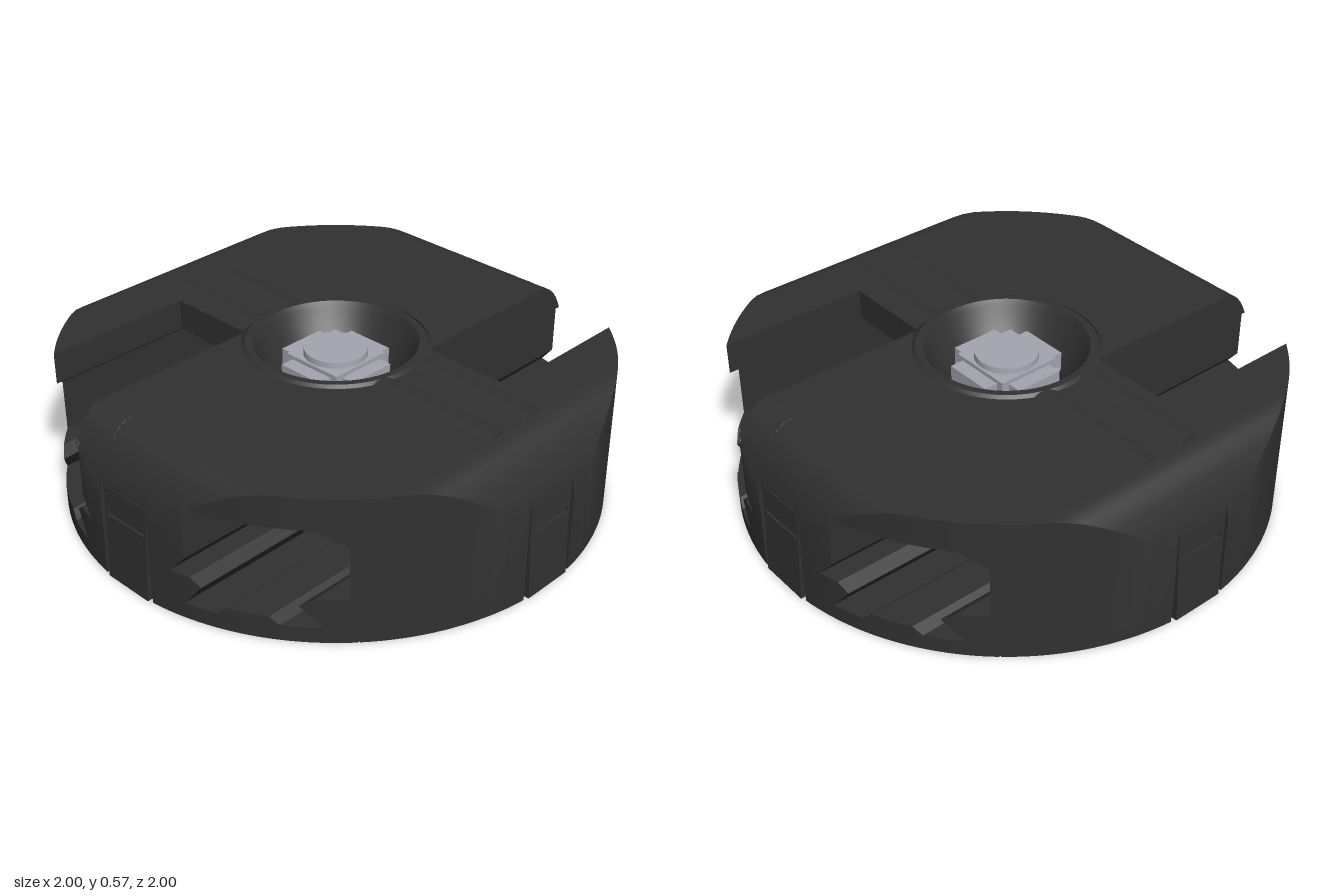
import * as THREE from 'three';
import { toCreasedNormals } from 'three/addons/utils/BufferGeometryUtils.js';

const dark = new THREE.MeshStandardMaterial({ color: 0x313131, side: THREE.DoubleSide });
const pale = new THREE.MeshStandardMaterial({ color: 0xa4a4b0 });

const TOP = 0.558, DISH = 0.34, RECESS = 0.74, HOLE = 0.17;
const circ = (r, x) => Math.sqrt(Math.max(0, r * r - x * x));
// outer wall, flattened where the clip tabs sit
const edge = x => (x <= 0.1201 ? 0.98 : circ(1, x));
// rounded shoulder, and the crown made by crossing two of them
const shoulder = t => {
  const u = Math.min(1, Math.max(0, (Math.abs(t) - 0.84) / 0.16));
  return 0.2 + (TOP - 0.2) * Math.sqrt(1 - u * u);
};
const crown = (x, z) => Math.min(shoulder(x), shoulder(z));

// piecewise linear height from [x, y] points
const along = pts => x => {
  for (let i = 1; i < pts.length; i++) {
    const [a, ya] = pts[i - 1], [b, yb] = pts[i];
    if (x <= b + 1e-9) return ya + (yb - ya) * (x - a) / (b - a);
  }
  return pts[pts.length - 1][1];
};
const steps = (marks, size = 0.025) => {
  const xs = [marks[0]];
  for (let i = 1; i < marks.length; i++) {
    const n = Math.max(1, Math.ceil((marks[i] - marks[i - 1]) / size));
    for (let k = 1; k <= n; k++) xs.push(marks[i - 1] + (marks[i] - marks[i - 1]) * k / n);
  }
  return xs;
};

// solid lofted over x stations, between low(x) and high(x, z), z0(x) and z1(x)
function slab(name, xs, low, high, z0, z1, n = 1) {
  const pos = [], m = xs.length - 1;
  const P = (i, j, up) => {
    const x = xs[i], t = n > 1 ? (1 - Math.cos(Math.PI * j / n)) / 2 : j;
    const a = z0(x), z = a + (Math.max(a, z1(x)) - a) * t;
    const y = low(x);
    return new THREE.Vector3(x, up ? Math.max(y, high(x, z)) : y, z);
  };
  const tri = (a, b, c) => {
    const area = b.clone().sub(a).cross(c.clone().sub(a)).length();
    if (area > 1e-9) for (const p of [a, b, c]) pos.push(p.x, p.y, p.z);
  };
  const quad = (a, b, c, d) => { tri(a, b, c); tri(a, c, d); };
  for (let i = 0; i < m; i++) {
    for (let j = 0; j < n; j++) {
      quad(P(i, j, 1), P(i, j + 1, 1), P(i + 1, j + 1, 1), P(i + 1, j, 1));
      quad(P(i, j, 0), P(i + 1, j, 0), P(i + 1, j + 1, 0), P(i, j + 1, 0));
    }
    quad(P(i, n, 0), P(i + 1, n, 0), P(i + 1, n, 1), P(i, n, 1));
    quad(P(i, 0, 0), P(i, 0, 1), P(i + 1, 0, 1), P(i + 1, 0, 0));
  }
  for (let j = 0; j < n; j++) {
    quad(P(m, j, 0), P(m, j, 1), P(m, j + 1, 1), P(m, j + 1, 0));
    quad(P(0, j, 0), P(0, j + 1, 0), P(0, j + 1, 1), P(0, j, 1));
  }
  const g = new THREE.BufferGeometry();
  g.setAttribute('position', new THREE.Float32BufferAttribute(pos, 3));
  return mesh(name, toCreasedNormals(g, 0.5), dark);
}

function mesh(name, geo, mat, x = 0, y = 0, z = 0) {
  const m = new THREE.Mesh(geo, mat);
  m.name = name;
  m.position.set(x, y, z);
  return m;
}

function buildHalf() {
  const half = new THREE.Group();
  const add = (...a) => half.add(slab(...a));
  const flat = y => () => y;
  const back = x => -edge(x);

  // side wall, with the clip recess at its outermost point
  const outer = [...steps([0.752, 0.96]), 0.97, 0.98];
  add('sideWall', outer, flat(0), crown, back, edge, 40);
  add('sideWallInner', [0.73, 0.74, 0.752], flat(0.175), crown, back, edge, 40);
  const tip = [0.98, 0.984, 0.988, 0.9928];
  add('sideWallLip', tip, flat(0), crown, flat(0.12), x => circ(1, x));
  add('sideWallLip', tip, flat(0), crown, x => -circ(1, x), flat(-0.12));

  // roof over the tunnel, open on one side as a long slot
  add('roofShoulder', steps([0.64, 0.73]), along([[0.64, 0.44], [0.655, 0.44], [0.73, 0.375]]), crown, back, edge, 40);
  add('roof', steps([DISH, 0.64]), flat(0.44), crown, flat(-0.185), edge, 40);
  add('roof', steps([0.28, DISH], 0.01), flat(0.44), crown, x => circ(DISH, x), edge, 32);
  add('roof', steps([0.285, DISH], 0.01), flat(0.44), crown, flat(-0.185), x => -circ(DISH, x));

  // central block around the dish
  const blockX = [...steps([0, 0.12]), ...steps([0.121, 0.205, 0.26]), 0.2605, 0.28];
  const blockLow = along([[0, 0.175], [0.205, 0.175], [0.26, 0.24], [0.2605, 0.44], [0.28, 0.44]]);
  add('centreBlock', blockX, blockLow, crown, x => circ(DISH, x), edge, 32);
  add('centreBlock', blockX, blockLow, crown, back, x => -circ(DISH, x), 32);

  // base: outer ring and recessed, ribbed inside
  const floor = along([[0.255, 0.06], [0.37, 0.06], [0.4, 0.09], [0.53, 0.09], [0.56, 0.06], [0.675, 0.06]]);
  const rib = along([[0.255, 0.03], [0.37, 0.03], [0.4, 0.06], [0.53, 0.06], [0.56, 0.03], [0.675, 0.03]]);
  const rim = x => circ(RECESS, x);
  const sections = [
    [[...steps([0, 0.12]), ...steps([0.121, 0.17, 0.205, 0.255])], flat(0.175),
      along([[0, 0.12], [0.19, 0.12], [0.255, 0.03]])],
    [steps([0.255, 0.37, 0.4, 0.53, 0.56, 0.675]), floor, rib],
    [steps([0.675, 0.74, 0.748], 0.01), flat(0.175), along([[0.675, 0.03], [0.72, 0.11], [0.748, 0.11]])],
  ];
  for (const [xs, high, low] of sections) {
    add('baseRing', xs, flat(0), high, rim, edge);
    add('baseRing', xs, flat(0), high, back, x => -rim(x));
    add('basePlate', xs, low, high, x => circ(HOLE, x), rim);
    add('basePlate', xs, low, high, x => -rim(x), x => -circ(HOLE, x));
  }

  // undercut rails along both sides of the tunnel
  add('innerRail', steps([0.255, 0.28, 0.32]), along([[0.255, 0.06], [0.32, 0.145]]),
    along([[0.255, 0.175], [0.28, 0.175], [0.32, 0.145]]), back, edge);
  add('outerRail', steps([0.61, 0.65, 0.675]), along([[0.61, 0.145], [0.675, 0.06]]),
    along([[0.61, 0.145], [0.65, 0.175], [0.675, 0.175]]), back, edge);

  // pair of raised strips with sloped sides, running out from the dish
  for (const s of [-1, 1]) {
    const z = s * 0.095;
    const ridge = (x, v) => (Math.abs(v - z) > 0.03 ? TOP : 0.566);
    add('topStrip', [0.31, 0.82], flat(0.55), ridge, flat(z - 0.041), flat(z + 0.041), 3);
  }
  return half;
}

// clip tab with a narrow slit, leaning back towards its top
function buildTab() {
  const rect = (S, a, b, c, d) => {
    const s = new S();
    s.moveTo(a, b); s.lineTo(c, b); s.lineTo(c, d); s.lineTo(a, d); s.closePath();
    return s;
  };
  const shape = rect(THREE.Shape, -0.102, 0, 0.102, 0.36);
  shape.holes.push(rect(THREE.Path, -0.095, 0.252, 0.095, 0.274));
  const geo = new THREE.ExtrudeGeometry(shape, { depth: 1, bevelEnabled: false });
  const p = geo.attributes.position;
  for (let i = 0; i < p.count; i++) p.setZ(i, p.getZ(i) > 0.5 ? 1 - 0.045 * p.getY(i) : 0.978);
  geo.computeVertexNormals();
  return mesh('clipTab', geo, dark);
}

const lathe = (name, pts) => {
  const g = new THREE.LatheGeometry(pts.map(p => new THREE.Vector2(...p)), 64);
  return mesh(name, toCreasedNormals(g, 0.4), dark);
};

export function createModel() {
  const model = new THREE.Group();
  const half = buildHalf();
  half.name = 'leftHalf';
  const other = half.clone();
  other.name = 'rightHalf';
  other.rotation.y = Math.PI;
  model.add(half, other);

  for (let k = 0; k < 4; k++) {
    const holder = new THREE.Group();
    holder.name = 'clip';
    holder.add(buildTab());
    holder.rotation.y = k * Math.PI / 2;
    model.add(holder);
  }

  // dished socket in the top and flared boss around the hole below
  model.add(lathe('dish', [[DISH, 0.44], [DISH, 0.552], [0.325, 0.566], [0.3, 0.566], [0.285, 0.545],
    [0.24, 0.46], [0.2, 0.42], [0.195, 0.4], [0.28, 0.4], [DISH, 0.44]]));
  model.add(lathe('bottomBoss', [[0.33, 0.13], [0.27, 0.05], [0.23, 0.045], [HOLE, 0.09], [HOLE, 0.175]]));

  // pale button in the socket
  const button = new THREE.Group();
  button.name = 'button';
  button.add(mesh('buttonBody', new THREE.CylinderGeometry(0.192, 0.192, 0.06, 40), pale, 0, 0.41, 0));
  button.add(mesh('buttonBlock', new THREE.BoxGeometry(0.25, 0.09, 0.25), pale, 0, 0.465, 0));
  button.add(mesh('buttonCap', new THREE.CylinderGeometry(0.115, 0.122, 0.08, 40), pale, 0, 0.492, 0));
  for (let k = 0; k < 4; k++) {
    const a = k * Math.PI / 2;
    const lug = mesh('buttonLug', new THREE.BoxGeometry(0.19, 0.08, 0.055), pale, Math.sin(a) * 0.152, 0.455, Math.cos(a) * 0.152);
    lug.rotation.y = a;
    button.add(lug);
  }
  model.add(button);
  return model;
}
